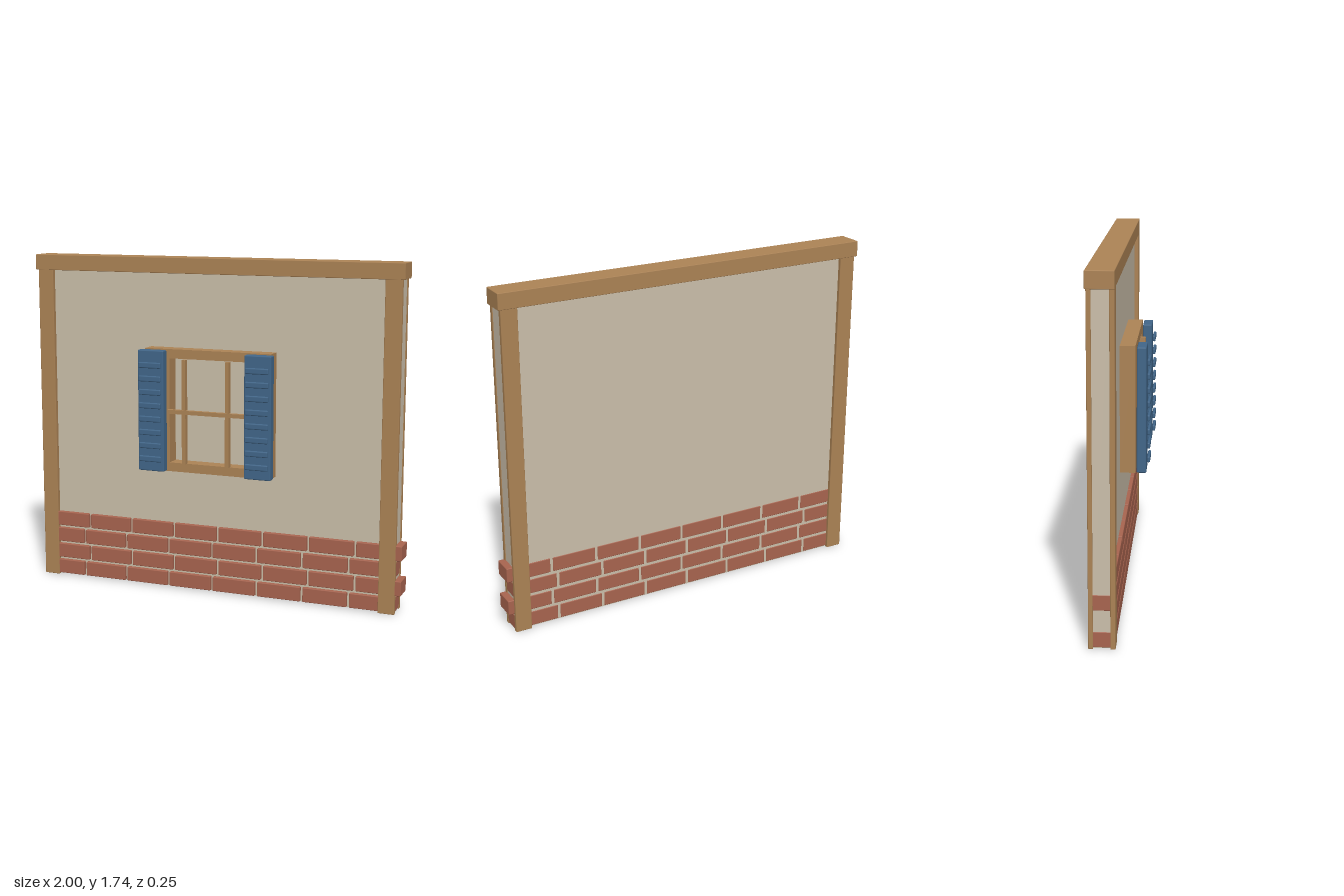
import * as THREE from 'three';
import { RoundedBoxGeometry } from 'three/addons/geometries/RoundedBoxGeometry.js';

const material = (name, color) => {
  const m = new THREE.MeshStandardMaterial({ color });
  m.name = name;
  return m;
};

export function createModel() {
  const wood = material('wood', 0xac8355);
  const plaster = material('plaster', 0xcbbfaa);
  const brickRed = material('brickRed', 0xa8644f);
  const shutterBlue = material('shutterBlue', 0x416689);

  const model = new THREE.Group();
  model.name = 'wallSection';

  // Box given by its minimum and maximum on each axis, optionally with softened edges
  function block(parent, name, mat, [x0, x1], [y0, y1], [z0, z1], bevel = 0) {
    const size = [x1 - x0, y1 - y0, z1 - z0];
    const geometry = bevel
      ? new RoundedBoxGeometry(...size, 1, bevel)
      : new THREE.BoxGeometry(...size);
    const mesh = new THREE.Mesh(geometry, mat);
    mesh.name = name;
    mesh.position.set((x0 + x1) / 2, (y0 + y1) / 2, (z0 + z1) / 2);
    parent.add(mesh);
    return mesh;
  }

  function group(name) {
    const g = new THREE.Group();
    g.name = name;
    model.add(g);
    return g;
  }

  // Plaster core
  block(model, 'wallPanel', plaster, [-0.98, 0.966], [0.005, 1.66], [-0.105, -0.02]);

  // Timber frame: corner boards on both faces and a top beam
  const timber = group('timberFrame');
  for (const [side, span] of [['right', [-0.985, -0.9]], ['left', [0.886, 0.97]]]) {
    block(timber, side + 'FrontPost', wood, span, [0, 1.66], [-0.021, 0.003], 0.003);
    block(timber, side + 'BackPost', wood, span, [0, 1.66], [-0.122, -0.1], 0.003);
  }
  block(timber, 'topBeam', wood, [-1, 0.982], [1.655, 1.735], [-0.127, 0.004], 0.003);

  // Brick courses in running bond, showing on both faces
  const bricks = group('brickCourses');
  for (let row = 0; row < 4; row++) {
    const start = row % 2 ? -0.95 : -0.982;
    const y = 0.008 + row * 0.0895;
    for (let i = 0; i < 8; i++) {
      const x = start + i * 0.2455;
      block(bricks, 'brick', brickRed, [x, x + 0.232], [y, y + 0.076], [-0.108, 0], 0.004);
    }
  }

  // Window surround
  const frame = group('windowFrame');
  const outline = new THREE.Shape();
  outline.moveTo(-0.347, 0.644).lineTo(0.335, 0.644).lineTo(0.335, 1.277).lineTo(-0.347, 1.277).closePath();
  const opening = new THREE.Path();
  opening.moveTo(-0.213, 0.69).lineTo(-0.213, 1.23).lineTo(0.2, 1.23).lineTo(0.2, 0.69).closePath();
  outline.holes.push(opening);
  const surround = new THREE.Mesh(
    new THREE.ExtrudeGeometry(outline, { depth: 0.077, bevelEnabled: false }), wood);
  surround.name = 'surround';
  surround.position.z = -0.021;
  frame.add(surround);

  // Glazing bars
  for (const x of [-0.125, 0.11]) {
    block(frame, 'verticalBar', wood, [x - 0.01, x + 0.01], [0.692, 1.228], [0.056, 0.083]);
  }
  block(frame, 'horizontalBar', wood, [-0.215, 0.2], [0.95, 0.97], [0.062, 0.086]);

  // Shutters with raised louvres
  for (const [side, x] of [['right', -0.366], ['left', 0.211]]) {
    const shutter = group(side + 'Shutter');
    block(shutter, 'panel', shutterBlue, [x, x + 0.142], [0.649, 1.273], [0.063, 0.11], 0.006);
    for (let i = 0; i < 8; i++) {
      const y = 0.715 + i * 0.069;
      block(shutter, 'louvre', shutterBlue, [x + 0.01, x + 0.132], [y - 0.015, y + 0.015], [0.113, 0.128], 0.006);
    }
  }

  return model;
}
